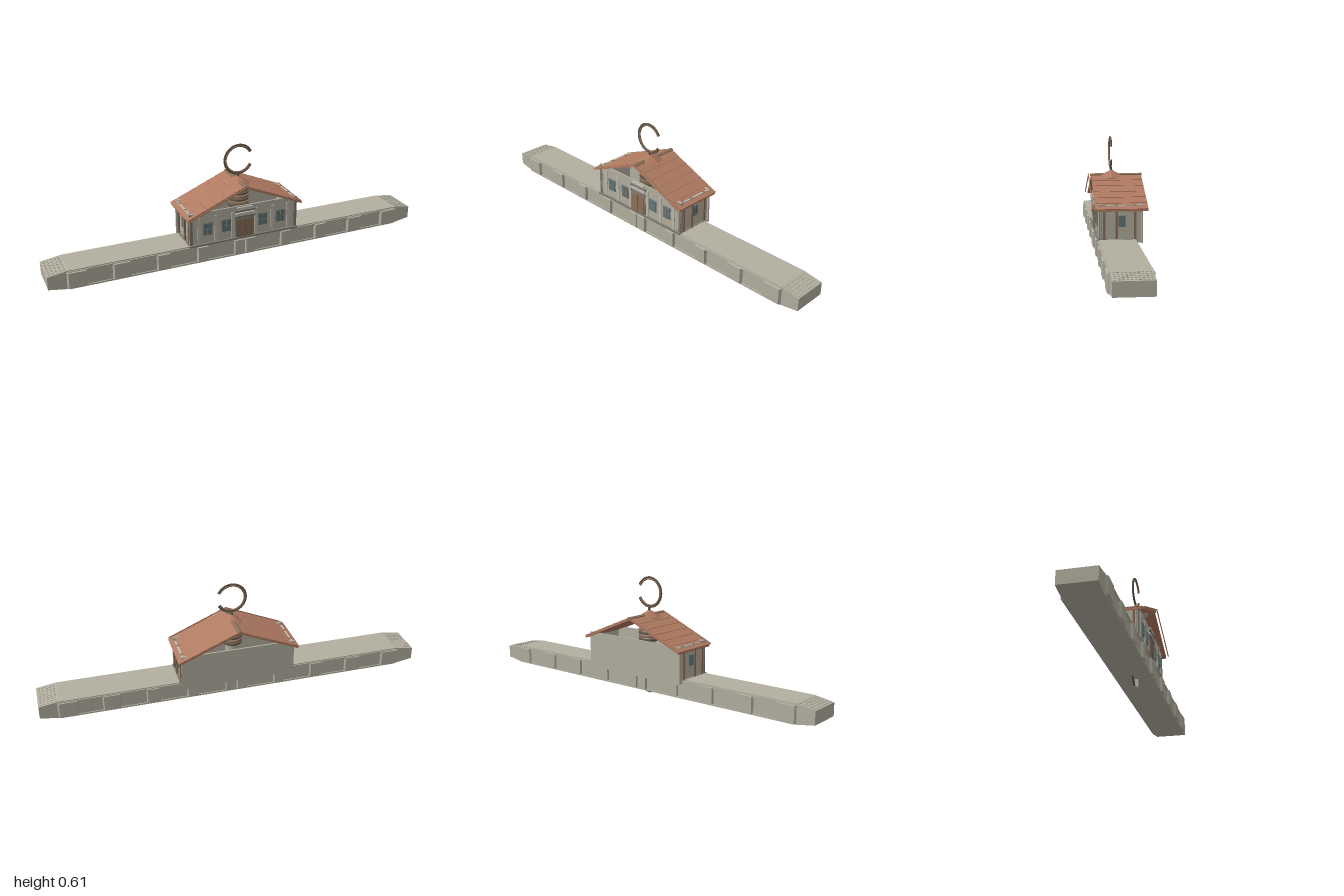
import * as THREE from 'three';

const mat = (name, color, extra = {}) => {
  const m = new THREE.MeshStandardMaterial({ color, ...extra });
  m.name = name;
  return m;
};

export function createModel() {
  const model = new THREE.Group();
  model.name = 'hangerHouse';
  const stone = mat('stone', 0xb3afa0);
  const trim = mat('greyTrim', 0x7d7b70);
  const pale = mat('paleTrim', 0xbdbaae);
  const tile = mat('roofTile', 0xb17b62);
  const wood = mat('wood', 0x8c7059);
  const glass = mat('glass', 0x5f7678);
  const metal = mat('darkMetal', 0x62564a);

  const add = (name, geo, material, parent = model) => {
    const m = new THREE.Mesh(geo, material);
    m.name = name;
    parent.add(m);
    return m;
  };
  // Box given by its lower and upper limits on each axis
  const box = (name, x0, x1, y0, y1, z0, z1, material, parent) => {
    const m = add(name, new THREE.BoxGeometry(x1 - x0, y1 - y0, z1 - z0), material, parent);
    m.position.set((x0 + x1) / 2, (y0 + y1) / 2, (z0 + z1) / 2);
    return m;
  };
  // Outline in x and y, extruded from z0 to z1
  const prism = (name, pts, z0, z1, material) => {
    const shape = new THREE.Shape(pts.map(([x, y]) => new THREE.Vector2(x, y)));
    const geo = new THREE.ExtrudeGeometry(shape, { depth: z1 - z0, bevelEnabled: false });
    return add(name, geo.translate(0, 0, z0), material);
  };
  const chevron = (name, half, low, high, thick, z0, z1, material) => prism(name,
    [[-half, low], [0, high], [half, low], [half, low - thick], [0, high - thick], [-half, low - thick]],
    z0, z1, material);

  // Long base bar with sloped ends
  prism('baseBar', [[-1, 0.055], [-0.9, 0.039], [0.9, 0.039], [1, 0.055],
    [1, 0.12], [0.9, 0.136], [-0.9, 0.136], [-1, 0.12]], -0.069, 0.105, stone);
  for (const [z0, z1] of [[0.105, 0.111], [-0.074, -0.069]]) {
    box('lowerMoulding', -0.9, 0.9, 0.04, 0.048, z0, z1, stone);
    box('upperMoulding', -0.9, 0.9, 0.122, 0.131, z0, z1, stone);
  }

  // Side blocks, tapered outward, on both long faces
  const spans = [[0.81, 0.91], [0.6, 0.69], [0.4, 0.47], [0.2, 0.26], [0.0, 0.06]];
  for (const s of [-1, 1]) {
    for (const [a, b] of spans) {
      for (const [z, depth, dir] of [[0.105, 0.013, 1], [-0.069, 0.009, -1]]) {
        const geo = new THREE.BoxGeometry(b - a, 0.086, depth);
        const p = geo.attributes.position;
        for (let i = 0; i < p.count; i++) {
          if (p.getZ(i) * dir > 0) {
            p.setX(i, p.getX(i) * 0.86);
            p.setY(i, p.getY(i) * 0.92);
          }
        }
        geo.computeVertexNormals();
        const block = add('sideBlock', geo.toNonIndexed(), stone);
        block.position.set(s * (a + b) / 2, 0.086, z + dir * depth / 2);
      }
    }
    // Rows of low studs on each end slope
    for (let r = 0; r < 5; r++) {
      for (let c = 0; c < 10; c++) {
        const x = 0.914 + r * 0.018;
        const stud = box('slopeStud', -0.005, 0.005, -0.0015, 0.0015, -0.005, 0.005, stone);
        stud.position.set(s * x, 0.137 - (x - 0.9) * 0.16, -0.056 + c * 0.0164);
        stud.rotation.z = -s * 0.16;
      }
    }
  }

  // House walls, open under the roof
  box('frontWall', -0.295, 0.295, 0.13, 0.305, 0.092, 0.1, stone);
  box('backWall', -0.295, 0.295, 0.116, 0.303, -0.106, -0.098, stone);
  for (const s of [-1, 1]) {
    const side = new THREE.Group();
    side.name = 'sideWall';
    side.scale.x = 1;
    model.add(side);
    const at = (x0, x1) => (s > 0 ? [x0, x1] : [-x1, -x0]);
    box('wallPanel', ...at(0.278, 0.286), 0.116, 0.29, -0.1, 0.096, stone, side);
    for (const z of [0.079, 0.02, -0.069]) {
      box('sidePost', ...at(0.284, 0.296), 0.133, 0.285, z - 0.0055, z + 0.0055, wood, side);
      box('railBracket', ...at(0.278, 0.289), 0.283, 0.301, z - 0.006, z + 0.006, wood, side);
    }
    box('sideWindow', ...at(0.284, 0.292), 0.195, 0.249, -0.023, 0.011, glass, side);
    box('sideMullion', ...at(0.284, 0.294), 0.194, 0.25, -0.007, -0.005, trim, side);
    box('sideSill', ...at(0.28, 0.299), 0.13, 0.137, -0.072, 0.108, trim, side);
    // Rail along the lower roof edge
    box('roofRail', ...at(0.28, 0.29), 0.288, 0.299, -0.106, 0.097, pale, side);
    for (const z of [-0.106, 0.087]) {
      box('railReturn', ...at(0.268, 0.288), 0.291, 0.303, z, z + 0.01, pale, side);
    }

    // Front windows with frames
    for (const x of [0.2, 0.1]) {
      const c = s * x;
      box('windowFrame', c - 0.025, c + 0.025, 0.181, 0.247, 0.098, 0.103, trim);
      box('windowPane', c - 0.022, c + 0.022, 0.185, 0.244, 0.1, 0.106, glass);
      box('windowBar', c - 0.002, c + 0.002, 0.184, 0.245, 0.1, 0.108, trim);
      box('windowCrossBar', c - 0.022, c + 0.022, 0.213, 0.216, 0.1, 0.108, trim);
    }
    // Raised uprights and corner posts of the front wall
    for (const x of [0.245, 0.155, 0.062]) {
      box('frontUpright', s * x - 0.008, s * x + 0.008, 0.137, 0.28, 0.098, 0.104, pale);
    }
    box('cornerPost', s * 0.287 - 0.008, s * 0.287 + 0.008, 0.137, 0.3, 0.09, 0.102, trim);
  }
  box('frontSill', -0.297, 0.297, 0.13, 0.138, 0.095, 0.112, trim);

  // Door with stepped head
  box('doorFrame', -0.051, 0.051, 0.137, 0.245, 0.098, 0.104, trim);
  box('door', -0.043, 0.043, 0.137, 0.236, 0.1, 0.108, wood);
  box('doorSplit', -0.0015, 0.0015, 0.138, 0.235, 0.1, 0.11, metal);
  for (let i = 0; i < 4; i++) {
    const w = [0.056, 0.048, 0.056, 0.042][i];
    box('doorHead', -w, w, 0.246 + i * 0.015, 0.255 + i * 0.015, 0.098, 0.11, i % 2 ? pale : trim);
  }

  // Ringed centre column below the roof
  const column = add('centreColumn', new THREE.CylinderGeometry(0.036, 0.036, 0.26, 16), stone);
  column.position.set(0, 0.265, 0.02);
  for (let i = 0; i < 6; i++) {
    const ring = add('columnRing', new THREE.CylinderGeometry(0.053, 0.053, 0.009, 16), i % 2 ? wood : metal);
    ring.position.set(0, 0.285 + i * 0.017, 0.02);
  }

  // Pitched roof, tile courses, ridge and front trim
  chevron('roof', 0.308, 0.284, 0.414, 0.012, -0.131, 0.122, tile);
  const pitch = Math.atan2(0.13, 0.308);
  for (const s of [-1, 1]) {
    for (let i = 0; i < 6; i++) {
      const x = 0.04 + i * 0.05;
      const course = box('tileCourse', -0.024, 0.024, -0.001, 0.001, -0.126, 0.126, tile);
      course.position.set(s * x, 0.4155 - x * 0.422, -0.0045);
      course.rotation.z = -s * (pitch - 0.02);
    }
  }
  chevron('ridgeCap', 0.012, 0.413, 0.418, 0.008, -0.135, 0.127, wood);
  chevron('frontRoofTrim', 0.305, 0.286, 0.417, 0.007, 0.133, 0.137, tile);

  // Six-sided cap where the hook leaves the roof
  const cap = add('hookCap', new THREE.ConeGeometry(0.076, 0.038, 6).toNonIndexed(), tile);
  cap.geometry.computeVertexNormals();
  cap.rotation.y = Math.PI / 6;
  cap.scale.set(1, 1, 0.8);
  cap.rotation.y = Math.PI / 2;
  cap.position.set(0, 0.418, 0.02);
  const rim = add('capRim', new THREE.CylinderGeometry(0.076, 0.068, 0.007, 6), pale);
  rim.rotation.y = Math.PI / 2;
  rim.scale.z = 0.8;
  rim.position.set(0, 0.396, 0.02);

  // Open hook ring and its stem
  const gap = 0.46;
  for (const [r, t, m] of [[0.076, 0.0045, metal], [0.068, 0.0045, wood]]) {
    const hook = add('hookRing', new THREE.TorusGeometry(r, t, 8, 48, Math.PI * 2 - 2 * gap), m);
    hook.rotation.z = gap;
    hook.position.set(0, 0.525, 0.025);
  }
  const stemPath = new THREE.LineCurve3(new THREE.Vector3(0, 0.425, 0.018), new THREE.Vector3(0, 0.458, 0.025));
  add('hookStem', new THREE.TubeGeometry(stemPath, 1, 0.006, 8), metal);

  // Half rings hanging under the bar
  for (const [r, t, z, m] of [[0.064, 0.005, 0.019, metal], [0.052, 0.004, 0.019, wood]]) {
    const lower = add('lowerRing', new THREE.TorusGeometry(r, t, 8, 24, Math.PI * 0.8), m);
    lower.rotation.z = Math.PI * 1.1;
    lower.position.set(0, 0.071, z);
  }
  box('lowerTab', -0.012, 0.012, 0, 0.04, 0.02, 0.037, pale);

  return model;
}
